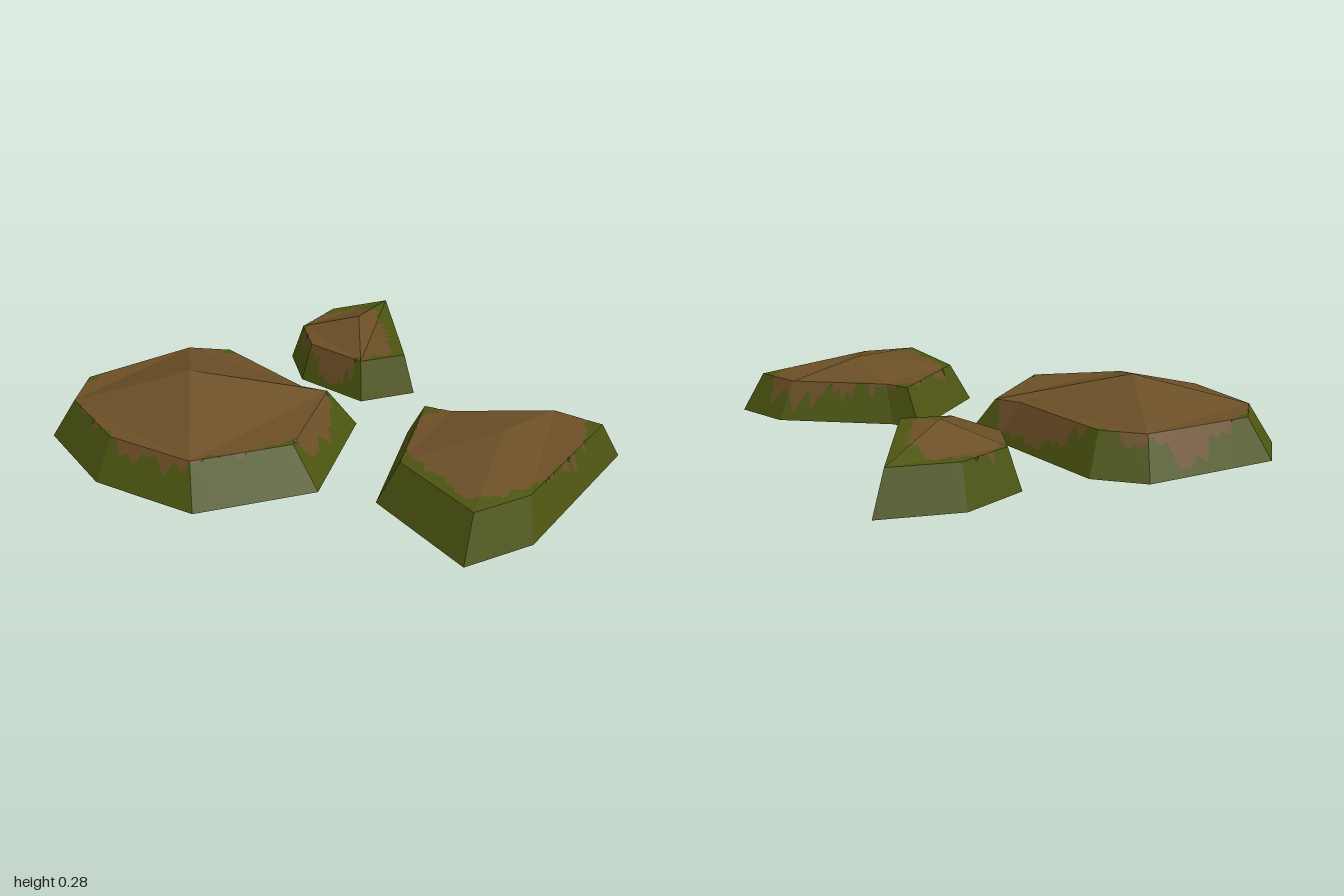
import * as THREE from 'three';

const RIM = 0.16;     // height of the shoulder
const INSET = 0.82;   // shoulder outline relative to the foot outline

// Each mound: peak [x, y, z], foot outline [x, z], the outline corners the
// summit facets reach, and the edge of the bare soil seen from above.
const MOUNDS = [
  {
    name: 'largeMound', peak: [-0.385, 0.275, -0.46],
    foot: [[-0.56, -1], [-0.03, -0.82], [0.08, -0.63], [0.005, -0.09], [0.045, 0.04],
      [-0.43, 0.21], [-0.81, -0.07], [-0.88, -0.5], [-0.76, -0.885]],
    summit: [1, 3, 4, 6, 8],
    soil: [[-0.69, -0.81], [-0.58, -0.88], [-0.21, -0.87], [-0.05, -0.72], [0, -0.5], [0.02, -0.39],
      [0, -0.1], [-0.13, 0.05], [-0.35, 0.12], [-0.53, 0], [-0.76, -0.16], [-0.8, -0.45], [-0.74, -0.66]],
  },
  {
    name: 'smallMound', peak: [0.47, 0.235, -0.26],
    foot: [[0.34, -0.54], [0.61, -0.54], [0.88, -0.365], [0.395, 0.09], [0.2, -0.05], [0.2, -0.37]],
    summit: [0, 2, 4],
    soil: [[0.27, -0.39], [0.35, -0.48], [0.5, -0.49], [0.64, -0.4], [0.65, -0.29], [0.56, -0.18],
      [0.46, -0.09], [0.39, -0.03], [0.27, -0.09], [0.21, -0.16], [0.21, -0.29]],
  },
  {
    name: 'frontMound', peak: [0.05, 0.218, 0.71],
    foot: [[0.115, 0.245], [0.15, 0.37], [0.45, 0.76], [0.47, 1], [-0.23, 1], [-0.48, 0.87], [-0.355, 0.42]],
    summit: [1, 2, 4, 5, 6],
    soil: [[-0.21, 0.43], [0.03, 0.36], [0.12, 0.4], [0.21, 0.53], [0.4, 0.73], [0.42, 0.85],
      [0.32, 0.93], [0.13, 0.96], [-0.13, 0.93], [-0.29, 0.85], [-0.33, 0.77], [-0.26, 0.56]],
  },
];

// Distance from the origin to a star-shaped outline in direction t
function reach(outline, t) {
  const dx = Math.cos(t), dz = Math.sin(t);
  let best = 0;
  outline.forEach(([ax, az], i) => {
    const [bx, bz] = outline[(i + 1) % outline.length];
    const ex = bx - ax, ez = bz - az;
    const det = dx * ez - dz * ex;
    if (Math.abs(det) < 1e-9) return;
    const r = (ax * ez - az * ex) / det;
    const k = (ax * dz - az * dx) / det;
    if (r > 0 && k > -1e-6 && k < 1 + 1e-6) best = Math.max(best, r);
  });
  return best;
}

// Skin spanned between neighbouring columns of points, smallest radius first
function skin(columns) {
  const pos = [];
  const a = new THREE.Vector3(), b = new THREE.Vector3();
  const tri = (p, q, r) => {
    a.subVectors(q, p);
    b.subVectors(r, p);
    if (a.cross(b).length() > 1e-9) pos.push(...p, ...q, ...r);
  };
  columns.forEach((c, i) => {
    const n = columns[(i + 1) % columns.length];
    for (let j = 0; j + 1 < c.length; j++) {
      tri(c[j], n[j], c[j + 1]);
      tri(n[j], n[j + 1], c[j + 1]);
    }
  });
  const g = new THREE.BufferGeometry();
  g.setAttribute('position', new THREE.Float32BufferAttribute(pos, 3));
  g.computeVertexNormals();
  return g;
}

function buildMound({ name, peak, foot, summit, soil }, grassMat, soilMat) {
  const [px, py, pz] = peak;
  const local = pts => pts.map(([x, z]) => [x - px, z - pz]);
  const base = local(foot), patch = local(soil);
  const crown = summit.map(i => base[i]);

  // Even directions plus one through every outline corner
  const angles = base.map(([x, z]) => Math.atan2(z, x));
  for (let i = 0; i < 240; i++) angles.push(-Math.PI + (i + 0.37) * Math.PI / 120);
  angles.sort((p, q) => p - q);

  const soilCols = [], grassCols = [];
  for (const t of angles) {
    const rBase = reach(base, t), rRim = rBase * INSET;
    const rCrown = Math.min(reach(crown, t) * INSET, rRim);
    // Ragged, dripping edge between soil and grass
    const ragged = 0.011 * Math.sin(17 * t + 2 * Math.sin(5 * t)) + 0.007 * Math.sin(41 * t + 1);
    const edge = Math.min(reach(patch, t) + ragged, rBase * 0.97);
    const point = r => {
      let y = RIM;
      if (r < rCrown) y = py + (RIM - py) * r / rCrown;
      else if (r > rRim) y = RIM * (rBase - r) / (rBase - rRim);
      return new THREE.Vector3(px + r * Math.cos(t), y, pz + r * Math.sin(t));
    };
    soilCols.push([0, Math.min(rCrown, edge), Math.min(rRim, edge), edge].map(point));
    grassCols.push([edge, Math.max(rCrown, edge), Math.max(rRim, edge), rBase].map(point));
  }

  const mound = new THREE.Group();
  mound.name = name;
  const top = new THREE.Mesh(skin(soilCols), soilMat);
  top.name = 'soilTop';
  const skirt = new THREE.Mesh(skin(grassCols), grassMat);
  skirt.name = 'grassSkirt';
  mound.add(top, skirt);
  return mound;
}

export function createModel() {
  const grass = new THREE.MeshStandardMaterial({ color: 0x4c5410, side: THREE.DoubleSide, flatShading: true });
  grass.name = 'grass green';
  const soil = new THREE.MeshStandardMaterial({ color: 0x6b4f26, side: THREE.DoubleSide, flatShading: true });
  soil.name = 'soil brown';
  const model = new THREE.Group();
  model.name = 'earthMounds';
  for (const m of MOUNDS) model.add(buildMound(m, grass, soil));
  return model;
}
